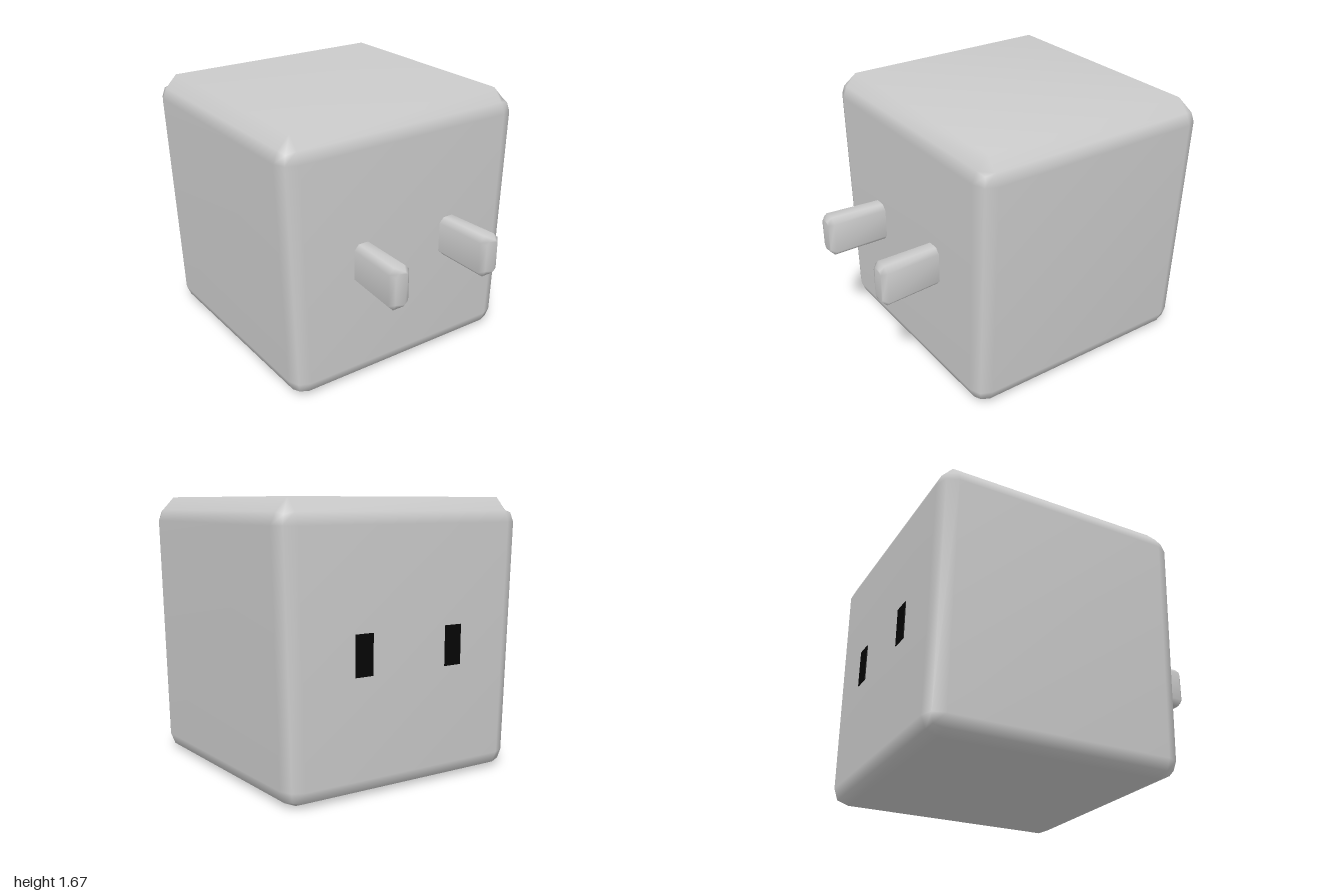
import * as THREE from 'three';
import { mergeVertices } from 'three/addons/utils/BufferGeometryUtils.js';
import { RoundedBoxGeometry } from 'three/addons/geometries/RoundedBoxGeometry.js';

const grey = new THREE.MeshStandardMaterial({ color: 0xcccccc });
const black = new THREE.MeshStandardMaterial({ color: 0x050505 });

// Move every vertex by a rule, then weld and shade the whole surface smoothly
function warpSmooth(geometry, rule) {
  const pos = geometry.attributes.position;
  const v = new THREE.Vector3();
  for (let i = 0; i < pos.count; i++) {
    rule(v.fromBufferAttribute(pos, i));
    pos.setXYZ(i, v.x, v.y, v.z);
  }
  geometry.deleteAttribute('normal');
  geometry.deleteAttribute('uv');
  const welded = mergeVertices(geometry, 1e-4);
  welded.computeVertexNormals();
  return welded;
}

// Bevelled block, wider at the top, with the flat top raised a little
function bodyGeometry() {
  const geometry = new RoundedBoxGeometry(1.61, 1.62, 1.61, 1, 0.1);
  geometry.translate(0, 0.81, -0.19);
  return warpSmooth(geometry, (v) => {
    if (v.y > 0.81) v.x *= 1.062;
    if (v.y > 1.615) v.y += 0.05;
  });
}

// Chamfered blade that thickens and leans outward toward its tip
function prongGeometry() {
  const w = 0.0425, h = 0.105, c = 0.018, b = 0.03;
  const shape = new THREE.Shape([
    [w - c, -h], [w, -h + c], [w, h - c], [w - c, h],
    [-w + c, h], [-w, h - c], [-w, -h + c], [-w + c, -h],
  ].map(([x, y]) => new THREE.Vector2(x, y)));
  const geometry = new THREE.ExtrudeGeometry(shape, {
    depth: 0.42, bevelEnabled: true, bevelSize: b, bevelThickness: b, bevelSegments: 1,
  });
  geometry.translate(0, 0, 0.55);
  return warpSmooth(geometry, (v) => {
    const t = (v.z - 0.62) / 0.36;
    v.x = v.x * (0.9 + 0.1 * t) + 0.325 + 0.015 * t;
    v.y = v.y * (0.95 + 0.05 * t) + 0.81;
  });
}

export function createModel() {
  const group = new THREE.Group();
  const add = (name, geometry, material) => {
    const mesh = new THREE.Mesh(geometry, material);
    mesh.name = name;
    group.add(mesh);
    return mesh;
  };

  add('body', bodyGeometry(), grey);

  // Half-turn about z mirrors a prong, as it is symmetric in height
  const prong = prongGeometry();
  add('leftProng', prong, grey);
  const rightProng = add('rightProng', prong, grey);
  rightProng.rotation.z = Math.PI;
  rightProng.position.y = 1.62;

  // Dark slots on the back face
  const slot = new THREE.BoxGeometry(0.12, 0.24, 0.02);
  for (const [name, side] of [['leftSlot', 1], ['rightSlot', -1]]) {
    add(name, slot, black).position.set(side * 0.322, 0.81, -0.99);
  }
  return group;
}
